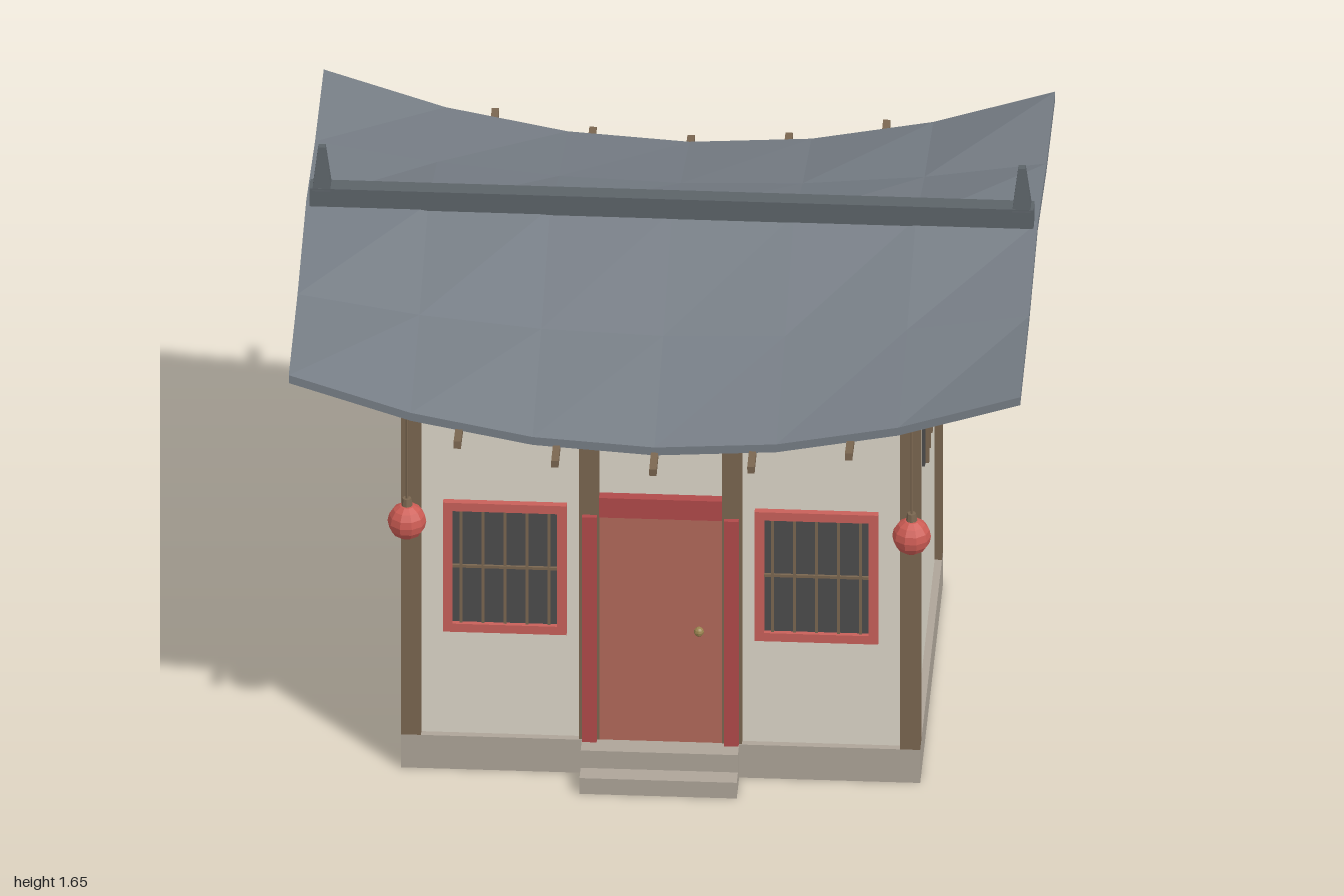
import * as THREE from 'three';

const mat = (color, extra = {}) => new THREE.MeshStandardMaterial({ color, flatShading: true, ...extra });
const M = {
  wall: mat(0xdcd6c8), wood: mat(0x7a6650), stone: mat(0xada498), tile: mat(0x767d85),
  ridge: mat(0x5c6368), door: mat(0xb2685a), trim: mat(0xb04a4a), frame: mat(0xc8605a),
  dark: mat(0x4c4c4c), lantern: mat(0xcc5c54), brass: mat(0x9a8450),
};

// Roof top surface: two slopes with a kink, eaves lifted towards the ends
const HALF_DEPTH = 0.813, THICK = 0.025;
function roofY(x, z) {
  const t = Math.min(1, Math.abs(z) / HALF_DEPTH);
  const base = t < 0.5 ? 1.475 + (1.322 - 1.475) * t * 2 : 1.322 + (1.21 - 1.322) * (t - 0.5) * 2;
  return base + 0.195 * x * x * t;
}

export function createModel() {
  const root = new THREE.Group();
  const add = (name, geometry, material, x = 0, y = 0, z = 0, parent = root) => {
    const mesh = new THREE.Mesh(geometry, material);
    mesh.name = name;
    mesh.position.set(x, y, z);
    parent.add(mesh);
    return mesh;
  };
  // Box given by its limits on each axis
  const box = (name, material, x0, x1, y0, y1, z0, z1, parent = root) =>
    add(name, new THREE.BoxGeometry(x1 - x0, y1 - y0, z1 - z0), material,
      (x0 + x1) / 2, (y0 + y1) / 2, (z0 + z1) / 2, parent);

  // Plinth, steps and walls
  box('plinth', M.stone, -0.71, 0.71, 0, 0.105, -0.533, 0.533);
  box('upperStep', M.stone, -0.215, 0.215, 0, 0.105, 0.533, 0.59);
  box('lowerStep', M.stone, -0.215, 0.215, 0, 0.05, 0.533, 0.645);
  box('walls', M.wall, -0.69, 0.69, 0.105, 1.2, -0.513, 0.513);

  // Timber frame
  for (const s of [-1, 1]) {
    for (const f of [-1, 1]) {
      const post = add('cornerPost', new THREE.BoxGeometry(0.055, 1.105, 0.055), M.wood, s * 0.6825, 0.6575, f * 0.5055);
      post.scale.set(1, 1, 1);
    }
    add('doorPost', new THREE.BoxGeometry(0.055, 1.1, 0.04), M.wood, s * 0.195, 0.655, 0.51);
    add('sideBeam', new THREE.BoxGeometry(0.04, 0.036, 1.06), M.wood, s * 0.689, 1.192, 0);
    add('longBeam', new THREE.BoxGeometry(1.41, 0.036, 0.04), M.wood, 0, 1.192, s * 0.512);
  }

  // Gable walls follow the underside of the roof
  for (const s of [-1, 1]) {
    const shape = new THREE.Shape();
    shape.moveTo(-0.515, 1.195);
    for (const z of [-0.515, -0.4065, 0, 0.4065, 0.515]) shape.lineTo(z, roofY(0.69, z) - THICK + 0.003);
    shape.lineTo(0.515, 1.195);
    const gable = add('gable', new THREE.ExtrudeGeometry(shape, { depth: 0.015, bevelEnabled: false }), M.wall, s * 0.69 - 0.0075);
    gable.geometry.rotateY(Math.PI / 2);
  }

  // Curved roof slab
  const roof = new THREE.BoxGeometry(2, THICK, HALF_DEPTH * 2, 6, 1, 4);
  const p = roof.attributes.position;
  for (let i = 0; i < p.count; i++) {
    p.setY(i, p.getY(i) - THICK / 2 + roofY(p.getX(i), p.getZ(i)));
  }
  roof.computeVertexNormals();
  add('roof', roof, M.tile);

  // Ridge bar and end finials
  box('ridge', M.ridge, -0.99, 0.99, 1.45, 1.528, -0.025, 0.025);
  for (const s of [-1, 1]) {
    const spike = new THREE.CylinderGeometry(0.014, 0.036, 0.13, 4).rotateY(Math.PI / 4);
    add('finial', spike, M.ridge, s * 0.957, 1.585, 0);
  }

  // Rafters sticking out under both eaves
  for (const f of [-1, 1]) {
    for (const x of [-0.535, -0.268, 0, 0.268, 0.535]) {
      const a = new THREE.Vector3(x, 1.215, f * 0.49);
      const b = new THREE.Vector3(x, 1.175 + 0.24 * x * x, f * 0.888);
      const rafter = add('rafter', new THREE.BoxGeometry(0.02, 0.022, a.distanceTo(b)), M.wood);
      rafter.position.copy(a).add(b).multiplyScalar(0.5);
      rafter.lookAt(b);
    }
  }

  // Door
  const door = new THREE.Group();
  door.name = 'door';
  root.add(door);
  box('doorPanel', M.door, -0.175, 0.175, 0.105, 0.82, 0.5, 0.528, door);
  box('lintel', M.trim, -0.168, 0.168, 0.82, 0.882, 0.5, 0.543, door);
  for (const s of [-1, 1]) {
    add('jamb', new THREE.BoxGeometry(0.04, 0.715, 0.045), M.trim, s * 0.194, 0.4625, 0.5225, door);
  }
  add('knob', new THREE.SphereGeometry(0.014, 8, 6), M.brass, 0.105, 0.462, 0.536, door);

  // Framed front windows with lattice
  for (const s of [-1, 1]) {
    const win = new THREE.Group();
    win.name = 'frontWindow';
    win.position.set(s * 0.426, 0.641, 0.513);
    root.add(win);
    add('pane', new THREE.BoxGeometry(0.3, 0.37, 0.01), M.dark, 0, 0, 0.001, win);
    for (const k of [-1, 1]) {
      add('frameRail', new THREE.BoxGeometry(0.338, 0.026, 0.03), M.frame, 0, k * 0.192, 0.005, win);
      add('frameStile', new THREE.BoxGeometry(0.026, 0.36, 0.03), M.frame, k * 0.156, 0, 0.005, win);
    }
    for (let i = -2; i <= 2; i++) {
      add('bar', new THREE.BoxGeometry(0.008, 0.36, 0.012), M.wood, i * 0.06, 0, 0.006, win);
    }
    add('crossBar', new THREE.BoxGeometry(0.29, 0.008, 0.012), M.wood, 0, 0, 0.007, win);
  }

  // Small barred windows: one per side wall, two at the back
  const smallWindow = (x, y, z, turn) => {
    const win = new THREE.Group();
    win.name = 'smallWindow';
    win.position.set(x, y, z);
    win.rotation.y = turn;
    root.add(win);
    add('pane', new THREE.BoxGeometry(0.21, 0.14, 0.016), M.dark, 0, 0, 0, win);
    for (const k of [-1, 0, 1]) {
      add('bar', new THREE.BoxGeometry(0.012, 0.14, 0.014), M.wood, k * 0.08, 0, 0.011, win);
    }
  };
  for (const s of [-1, 1]) {
    smallWindow(s * 0.69, 0.82, 0, s * Math.PI / 2);
    smallWindow(s * 0.355, 0.64, -0.513, Math.PI);
  }

  // Hanging lanterns
  for (const s of [-1, 1]) {
    const lantern = new THREE.Group();
    lantern.name = 'lantern';
    lantern.position.set(s * 0.69, 0.82, 0.59);
    root.add(lantern);
    add('globe', new THREE.SphereGeometry(0.053, 10, 8), M.lantern, 0, 0, 0, lantern);
    add('cap', new THREE.CylinderGeometry(0.012, 0.016, 0.024, 8), M.wood, 0, 0.06, 0, lantern);
    add('cord', new THREE.CylinderGeometry(0.004, 0.004, 0.43, 6), M.wood, 0, 0.277, 0, lantern);
  }

  return root;
}
